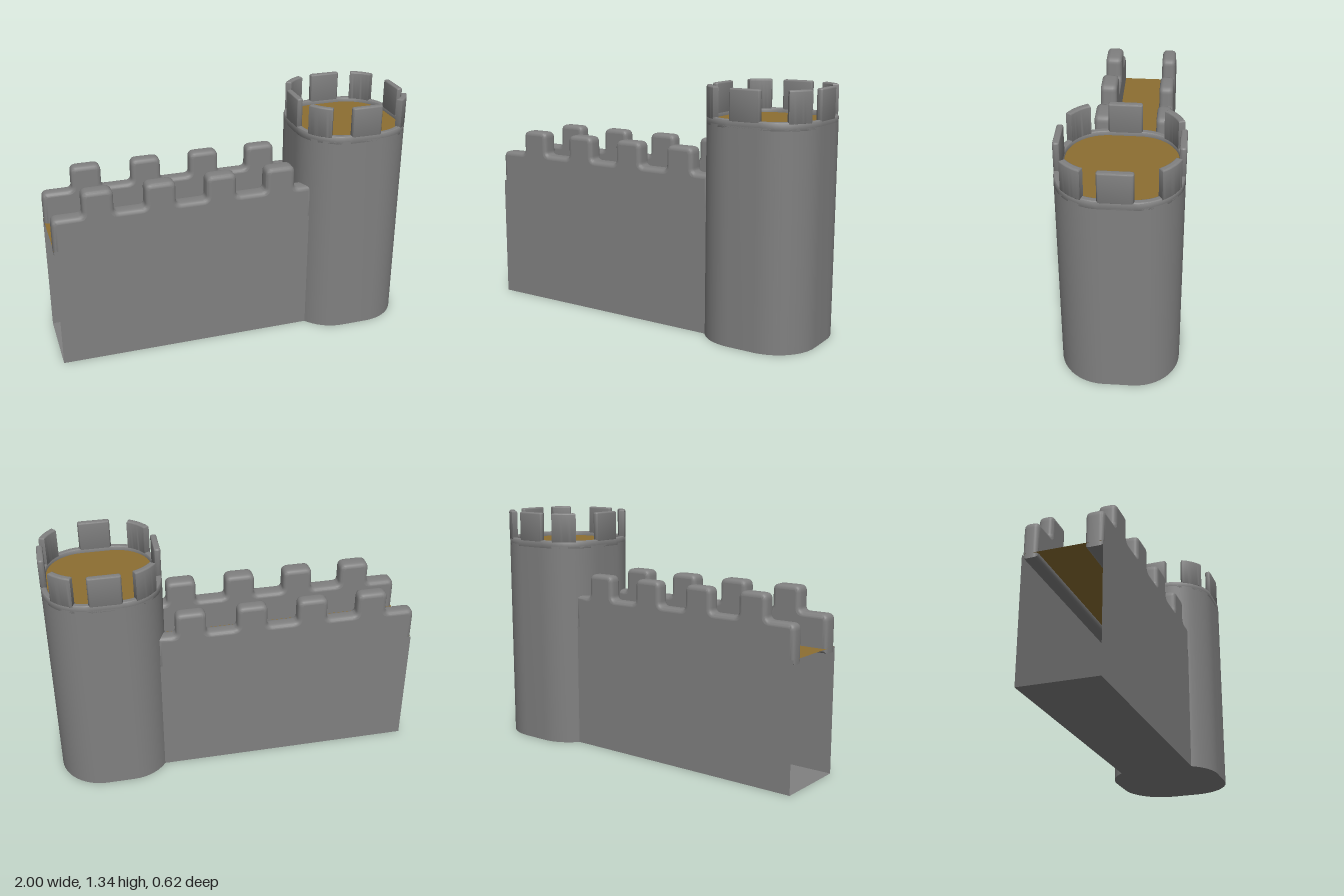
import * as THREE from 'three';
import { toCreasedNormals } from 'three/addons/utils/BufferGeometryUtils.js';

const stone = new THREE.MeshStandardMaterial({ color: 0x808080, side: THREE.DoubleSide });
const boards = new THREE.MeshStandardMaterial({ color: 0x8c6e32, side: THREE.DoubleSide });

const TOWER_X = 0.686, HALF = 0.311, RADIUS = 0.235; // rounded-square tower plan
const RIM_Y = 1.18, TOP_Y = 1.335;
const FRONT_Z = 0.207, BACK_Z = -0.213, WALK_Y = 0.69, WALL_END = 0.43;

function add(parent, name, geometry, material = stone) {
  const mesh = new THREE.Mesh(geometry, material);
  mesh.name = name;
  parent.add(mesh);
  return mesh;
}

// Closed polygon whose corners [x, y, radius] are rounded off
function roundedShape(corners) {
  const shape = new THREE.Shape();
  corners.forEach(([x, y, r], i) => {
    const p = new THREE.Vector2(x, y);
    const toward = (c) => new THREE.Vector2(c[0], c[1]).sub(p).setLength(r).add(p);
    const a = toward(corners[(i + corners.length - 1) % corners.length]);
    const b = toward(corners[(i + 1) % corners.length]);
    if (i === 0) shape.moveTo(a.x, a.y);
    else shape.lineTo(a.x, a.y);
    if (r > 0) shape.quadraticCurveTo(x, y, b.x, b.y);
  });
  shape.closePath();
  return shape;
}

// Extrusion with rounded edges that stays inside the outline and depth; its two caps stay flat
function softExtrude(shape, depth, bevel) {
  const geometry = new THREE.ExtrudeGeometry(shape, {
    depth: depth - 2 * bevel, bevelEnabled: bevel > 0, bevelSize: bevel, bevelThickness: bevel,
    bevelOffset: -bevel, bevelSegments: 4, curveSegments: 5,
  });
  geometry.translate(0, 0, bevel);
  const caps = geometry.groups[0];
  const flat = geometry.attributes.normal.clone();
  const result = toCreasedNormals(geometry, 0.7);
  const normal = result.attributes.normal;
  for (let i = caps.start; i < caps.start + caps.count; i++) {
    normal.setXYZ(i, flat.getX(i), flat.getY(i), flat.getZ(i));
  }
  return result;
}

// Upright extrusion of a plan outline, from height y
function upright(shape, y, height, bevel) {
  return softExtrude(shape, height, bevel).rotateX(-Math.PI / 2).translate(TOWER_X, y, 0);
}

// Points of one rounded plan corner, between two angles in degrees, inset from the face
function cornerArc(quarter, from, to, inset) {
  const points = [], flat = HALF - RADIUS, r = RADIUS - inset, steps = 12;
  for (let i = 0; i <= steps; i++) {
    const a = THREE.MathUtils.degToRad(from + (to - from) * i / steps);
    points.push(new THREE.Vector2(flat + r * Math.cos(a), flat + r * Math.sin(a))
      .rotateAround(new THREE.Vector2(), quarter * Math.PI / 2));
  }
  return points;
}

function towerPlan(inset) {
  return [0, 1, 2, 3].flatMap((q) => cornerArc(q, 0, 90, inset));
}

function createTower() {
  const tower = new THREE.Group();
  tower.name = 'tower';

  add(tower, 'towerBody', upright(new THREE.Shape(towerPlan(0)), 0, 1.15, 0));
  add(tower, 'towerFloor',
    new THREE.ShapeGeometry(new THREE.Shape(towerPlan(0.02))).rotateX(-Math.PI / 2).translate(TOWER_X, 1.156, 0), boards);

  const rim = new THREE.Shape(towerPlan(0));
  rim.holes.push(new THREE.Path(towerPlan(0.032).reverse()));
  add(tower, 'towerRim', upright(rim, 1.13, RIM_Y - 1.13, 0.008));

  // Straight merlons on the four sides, bent ones on the corners
  const merlonY = RIM_Y - 0.012, merlonHeight = TOP_Y - merlonY, out = 0.001;
  const cornerSpans = [[35, 68], [20, 54], [27, 61], [38, 69]];
  for (let q = 0; q < 4; q++) {
    const side = roundedShape([
      [HALF - 0.032, -0.086, 0.014], [HALF + out, -0.086, 0.014],
      [HALF + out, 0.086, 0.014], [HALF - 0.032, 0.086, 0.014]]);
    const sideMerlon = upright(side, merlonY, merlonHeight, 0.009);
    sideMerlon.translate(-TOWER_X, 0, 0).rotateY(q * Math.PI / 2).translate(TOWER_X, 0, 0);
    add(tower, 'towerSideMerlon', sideMerlon);

    const [from, to] = cornerSpans[q];
    const bent = new THREE.Shape([
      ...cornerArc(q, from, to, -out), ...cornerArc(q, to, from, 0.032)]);
    add(tower, 'towerCornerMerlon', upright(bent, merlonY, merlonHeight, 0.009));
  }
  return tower;
}

function createWall() {
  const wall = new THREE.Group();
  wall.name = 'wall';
  const length = WALL_END + 1, midX = (WALL_END - 1) / 2;
  const width = FRONT_Z - BACK_Z, midZ = (FRONT_Z + BACK_Z) / 2;

  // Thin shell, open at the far end
  add(wall, 'wallFront', new THREE.PlaneGeometry(length, WALK_Y)).position.set(midX, WALK_Y / 2, FRONT_Z);
  add(wall, 'wallBack', new THREE.PlaneGeometry(length, WALK_Y).rotateY(Math.PI)).position.set(midX, WALK_Y / 2, BACK_Z);
  add(wall, 'wallBase', new THREE.PlaneGeometry(length, width).rotateX(Math.PI / 2)).position.set(midX, 0, midZ);
  // The boards stop just short of the outer faces, under the parapets
  add(wall, 'walkway', new THREE.PlaneGeometry(length, width - 0.02).rotateX(-Math.PI / 2), boards)
    .position.set(midX, WALK_Y, midZ);

  // Parapet outline with four merlons, its foot sunk below the walkway
  const foot = WALK_Y - 0.027, top = 0.867;
  const corners = [[-1, foot, 0], [WALL_END, foot, 0], [WALL_END, top, 0]];
  for (let i = 3; i >= 0; i--) {
    const x = -0.755 + i * 0.333, w = 0.082;
    corners.push([x + w, top, 0.025], [x + w, 1, 0.036], [x - w, 1, 0.036], [x - w, top, 0.025]);
  }
  corners.push([-1, top, 0.036]);
  const parapet = roundedShape(corners);
  add(wall, 'frontParapet', softExtrude(parapet, 0.095, 0.024)).position.z = FRONT_Z - 0.095;
  add(wall, 'backParapet', softExtrude(parapet, 0.08, 0.024)).position.z = BACK_Z;
  return wall;
}

export function createModel() {
  const model = new THREE.Group();
  model.name = 'castleWallWithTower';
  model.add(createWall(), createTower());
  return model;
}
